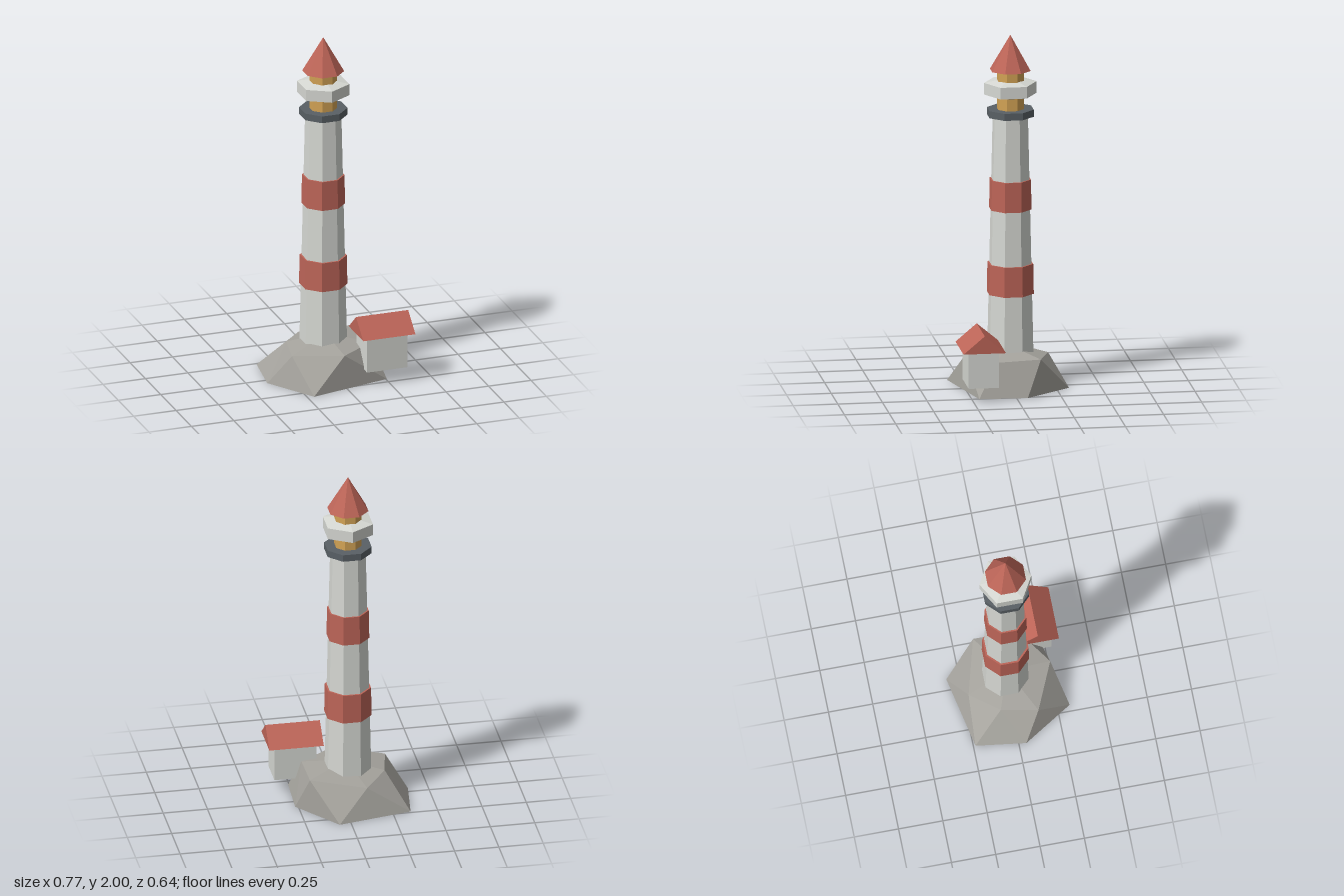
import * as THREE from 'three';

const mat = (name, color) => {
  const m = new THREE.MeshStandardMaterial({ color, flatShading: true });
  m.name = name;
  return m;
};

export function createModel() {
  const white = mat('white', 0xd6d8d3);
  const red = mat('red', 0xbd6558);
  const grey = mat('rock grey', 0xa5a39d);
  const dark = mat('dark grey', 0x596065);
  const amber = mat('amber', 0xd3a355);

  const model = new THREE.Group();
  const add = (name, geometry, material, parent = model) => {
    const mesh = new THREE.Mesh(geometry, material);
    mesh.name = name;
    parent.add(mesh);
    return mesh;
  };

  // Rock: jagged six-sided base, lower and upper rings joined by triangles
  const low = [[0.065, 0, -0.322], [0.268, 0, -0.062], [0.256, 0, 0.208],
    [-0.212, 0, 0.32], [-0.388, 0, 0.042], [-0.35, 0, -0.238]];
  const high = [[0.2, 0.2, -0.145], [0.2, 0.19, 0.107], [-0.007, 0.19, 0.25],
    [-0.275, 0.18, 0.132], [-0.235, 0.185, -0.073], [-0.107, 0.165, -0.23]];
  const peak = [-0.03, 0.233, 0], floor = [0, 0, 0];
  const points = [];
  for (let i = 0; i < 6; i++) {
    const next = (i + 1) % 6, prev = (i + 5) % 6;
    points.push(low[i], high[prev], high[i]);
    points.push(low[next], low[i], high[i]);
    points.push(peak, high[next], high[i]);
    points.push(floor, low[i], low[next]);
  }
  const rock = new THREE.BufferGeometry();
  rock.setAttribute('position', new THREE.Float32BufferAttribute(points.flat(), 3));
  rock.computeVertexNormals();
  add('rock', rock, grey);

  // Tower: stacked octagonal drums, sized by the distance to their flat sides
  const tower = new THREE.Group();
  tower.name = 'tower';
  tower.position.set(-0.04, 0, -0.009);
  model.add(tower);
  const drum = (name, top, bottom, y0, y1, material) => {
    const k = 1 / Math.cos(Math.PI / 8);
    const g = new THREE.CylinderGeometry(top * k, bottom * k, y1 - y0, 8);
    g.rotateY(Math.PI / 8);
    g.translate(0, (y0 + y1) / 2, 0);
    add(name, g, material, tower);
  };
  drum('shaft', 0.093, 0.123, 0.15, 1.55, white);
  drum('lowerBand', 0.121, 0.124, 0.53, 0.7, red);
  drum('upperBand', 0.109, 0.112, 1.01, 1.18, red);
  drum('gallery', 0.124, 0.124, 1.54, 1.58, dark);
  drum('lantern', 0.0715, 0.0715, 1.58, 1.8, amber);
  drum('towerRoof', 0, 0.1075, 1.8, 2, red);

  // Railing: hexagonal ring around the lantern
  const profile = [[0.06, 1.648], [0.079, 1.648], [0.147, 1.664],
    [0.147, 1.73], [0.079, 1.743], [0.06, 1.743]];
  add('railing', new THREE.LatheGeometry(profile.map(p => new THREE.Vector2(...p)), 6), white, tower);

  // Keeper's house with a gabled roof
  const house = new THREE.Group();
  house.name = 'house';
  house.position.set(0.2325, 0, 0.197);
  model.add(house);
  const walls = new THREE.BoxGeometry(0.238, 0.205, 0.17);
  walls.translate(0, 0.1875, 0);
  add('houseWalls', walls, white, house);
  const gable = new THREE.Shape([[-0.119, 0.29], [0.119, 0.29], [0, 0.39]]
    .map(p => new THREE.Vector2(...p)));
  const roof = new THREE.ExtrudeGeometry(gable, { depth: 0.307, bevelEnabled: false });
  roof.translate(0, 0, -0.1535);
  roof.rotateY(Math.PI / 2);
  add('houseRoof', roof, red, house);

  return model;
}
